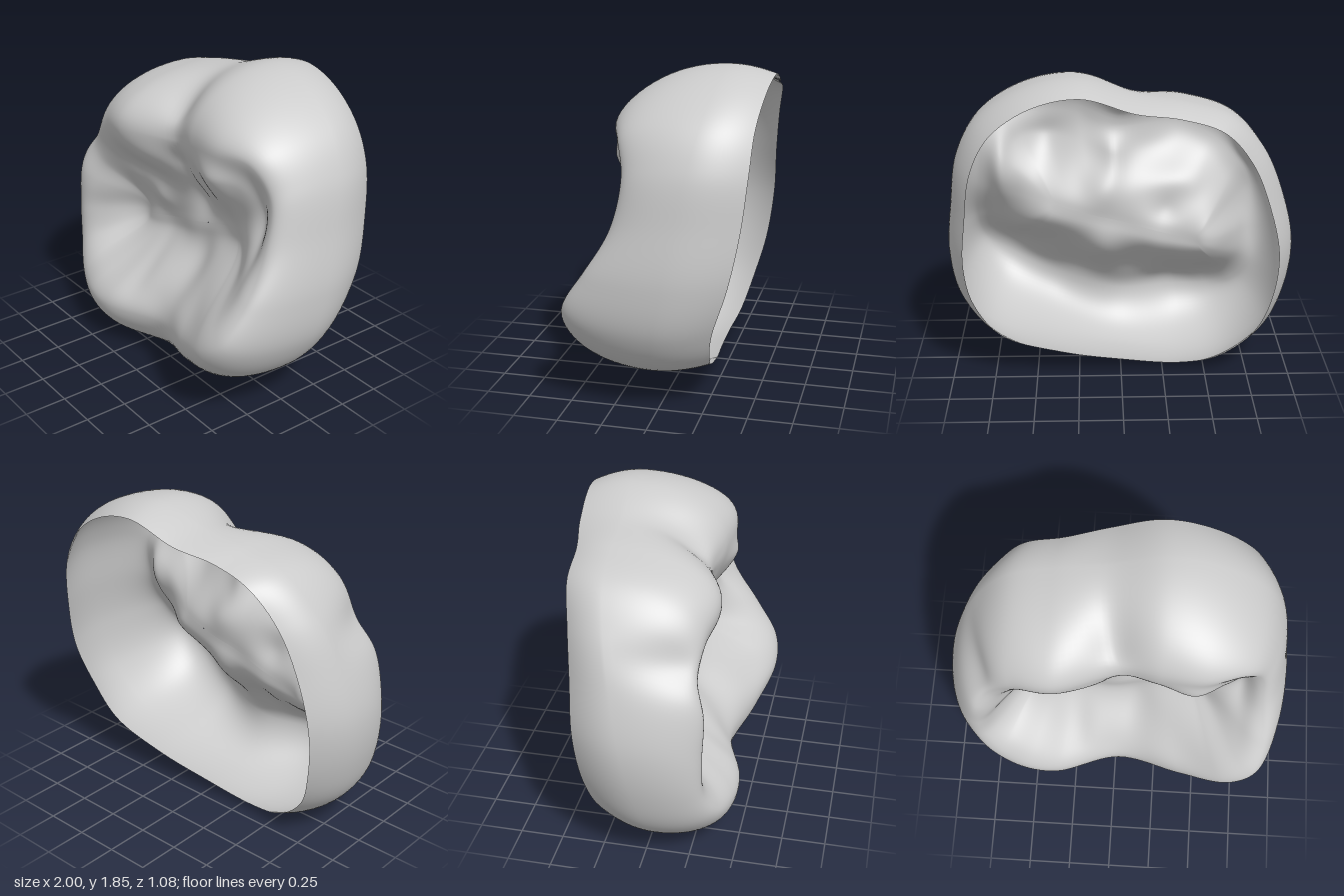
import * as THREE from 'three';

const N = 200, WALL = 12, SHOULDER = 18, BASIN = 32;
const V = (x, y, z = 0) => new THREE.Vector3(x, y, z);
const loop = (pts) => new THREE.CatmullRomCurve3(pts.map((p) => V(...p)), true, 'centripetal');
const { lerp, smoothstep, clamp } = THREE.MathUtils;

// widest outline of the crown: x, y, and the z of the open rim behind it
const outline = [
  [1, 0.78, -0.41], [0.97, 1.1, -0.47], [0.92, 1.4, -0.5], [0.8, 1.62, -0.51], [0.55, 1.79, -0.53],
  [0.25, 1.85, -0.54], [-0.08, 1.755, -0.52], [-0.36, 1.705, -0.47], [-0.62, 1.62, -0.46], [-0.8, 1.42, -0.42],
  [-0.92, 1.15, -0.39], [-1, 0.82, -0.37], [-0.97, 0.5, -0.33], [-0.87, 0.25, -0.27], [-0.65, 0.06, -0.22],
  [-0.4, 0, -0.19], [0, 0.04, -0.21], [0.4, 0.12, -0.25], [0.78, 0.25, -0.28], [0.95, 0.48, -0.32],
];
// crest line over the cusps and marginal ridges
const crest = [
  [0.87, 0.8, 0.38], [0.84, 1.05, 0.23], [0.81, 1.33, 0.17], [0.7, 1.5, 0.22], [0.48, 1.52, 0.29],
  [0.25, 1.5, 0.27], [0.03, 1.43, 0.22], [-0.35, 1.42, 0.34], [-0.58, 1.34, 0.3], [-0.72, 1.17, 0.28],
  [-0.8, 0.98, 0.33], [-0.83, 0.72, 0.33], [-0.82, 0.5, 0.34], [-0.72, 0.34, 0.4], [-0.55, 0.28, 0.46],
  [-0.35, 0.27, 0.47], [0.03, 0.3, 0.36], [0.4, 0.36, 0.46], [0.68, 0.48, 0.54], [0.83, 0.6, 0.51],
];
// pits (and, with negative depth, ridges) of the chewing surface: x, y, radius x, radius y, depth
const pits = [
  [-0.32, 1.1, 0.18, 0.1, 0.05], [-0.62, 0.75, 0.16, 0.1, 0.04], [0.1, 1.08, 0.1, 0.12, 0.04],
  [0.73, 1.2, 0.07, 0.25, 0.05], [0.47, 1.24, 0.15, 0.2, -0.09], [-0.22, 0.5, 0.07, 0.18, 0.02],
  [0.03, 1.28, 0.07, 0.15, 0.03], [0.12, 0.65, 0.1, 0.22, 0.03], [-0.27, 0.92, 0.08, 0.07, -0.02],
];
// grooves running down the outer wall between cusps: x, y, radius, depth
const grooves = [[0, 1.62, 0.13, 0.07], [-0.8, 1.27, 0.13, 0.05]];

function relief(x, y) {
  let z = 0.01 * Math.sin(11 * x + 5 * y) * Math.sin(13 * y - 4 * x);
  for (const [px, py, rx, ry, d] of pits) z -= d * Math.exp(-(((x - px) / rx) ** 2) - ((y - py) / ry) ** 2);
  return z;
}

// one cross-section from the open rim over the crest to the central fissure
function section(sil, top) {
  const pts = [];
  const midZ = -0.1 - 0.2 * (sil.y - 0.9);
  const rim = V(sil.x * 0.89, 0.9 + (sil.y - 0.9) * 0.945, sil.z);
  for (let k = 0; k < WALL; k++) {
    const u = 1 - k / WALL;
    pts.push(V(lerp(sil.x, rim.x, u * u), lerp(sil.y, rim.y, u * u), lerp(midZ, rim.z, u)));
  }
  for (let k = 0; k < SHOULDER; k++) {
    const a = (k / SHOULDER) * Math.PI / 2, c = Math.cos(a);
    const p = V(lerp(top.x, sil.x, c), lerp(top.y, sil.y, c), lerp(midZ, top.z, Math.sin(a)));
    const inward = V(-p.x, 0.9 - p.y).normalize();
    let depth = 0;
    for (const [gx, gy, r, d] of grooves) depth += d * Math.exp(-((p.x - gx) ** 2 + (p.y - gy) ** 2) / (r * r));
    pts.push(p.addScaledVector(inward, depth * Math.sin(2 * a)));
  }
  // the basin floor follows a slanting central fissure
  const cx = clamp(top.x * 0.6, -0.44, 0.38);
  const centre = V(cx, 0.87 + 0.28 * cx, 0.06);
  const reach = lerp(0.9, 0.95, smoothstep(top.y, 0.4, 1.4));
  for (let k = 0; k <= BASIN; k++) {
    const t = k / BASIN, p = top.clone().lerp(centre, t);
    p.z = lerp(top.z, centre.z, smoothstep(t, 0, reach)) + relief(p.x, p.y) * smoothstep(t, 0, 0.3);
    pts.push(p);
  }
  return pts;
}

export function createModel() {
  const group = new THREE.Group();
  const silCurve = loop(outline), crestCurve = loop(crest);
  const positions = [], index = [];
  let rows = 0;
  for (let i = 0; i < N; i++) {
    const pts = section(silCurve.getPoint(i / N), crestCurve.getPoint(i / N));
    rows = pts.length;
    for (const p of pts) positions.push(p.x, p.y, p.z);
  }
  for (let i = 0; i < N; i++) {
    const a = i * rows, b = ((i + 1) % N) * rows;
    for (let k = 0; k < rows - 1; k++) {
      index.push(a + k, b + k, a + k + 1, b + k, b + k + 1, a + k + 1);
    }
  }
  const geometry = new THREE.BufferGeometry();
  geometry.setAttribute('position', new THREE.Float32BufferAttribute(positions, 3));
  geometry.setIndex(index);
  geometry.computeVertexNormals();

  // thin open shell of a molar crown
  const crown = new THREE.Mesh(geometry, new THREE.MeshStandardMaterial({ color: 0xcccccc, side: THREE.DoubleSide }));
  crown.name = 'molarCrown';
  group.add(crown);
  return group;
}
